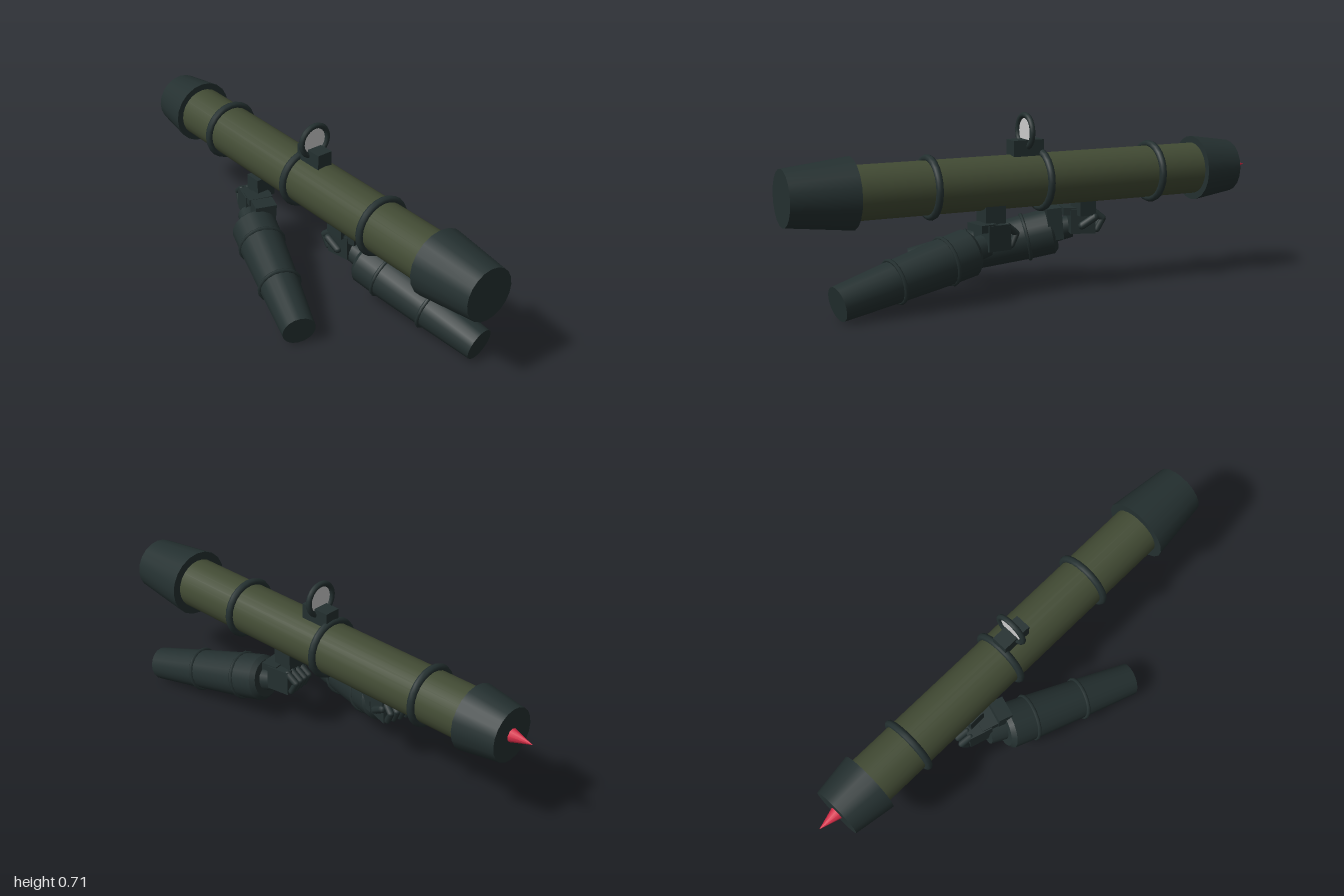
import * as THREE from 'three';

const mat = (name, color, extra = {}) => {
  const m = new THREE.MeshStandardMaterial({ color, ...extra });
  m.name = name;
  return m;
};

export function createModel() {
  const model = new THREE.Group();
  model.name = 'shoulderLauncher';
  const dark = mat('darkSlate', 0x243030);
  const olive = mat('oliveGreen', 0x424b34);
  const red = mat('warheadRed', 0xd62c47);
  const glass = mat('lensGrey', 0xcbcbcb, { side: THREE.DoubleSide });

  const add = (parent, name, geometry, material, x = 0, y = 0, z = 0) => {
    const m = new THREE.Mesh(geometry, material);
    m.name = name;
    m.position.set(x, y, z);
    parent.add(m);
    return m;
  };
  const box = (w, h, d) => new THREE.BoxGeometry(w, h, d);
  // Cylinder lying along z, given radii at its front and back ends
  const barrel = (rFront, rBack, length, sides = 20) =>
    new THREE.CylinderGeometry(rFront, rBack, length, sides).rotateX(Math.PI / 2);

  // Launch tube with flared ends, bands and red tip
  const X = 0.1, Y = 0.455;
  add(model, 'launchTube', barrel(0.104, 0.104, 1.6, 24), olive, X, Y, 0);
  add(model, 'frontMuzzle', barrel(0.108, 0.138, 0.26), dark, X, Y, 0.87);
  add(model, 'rearMuzzle', barrel(0.131, 0.106, 0.17), dark, X, Y, -0.825);
  for (const z of [0.43, -0.035, -0.535])
    add(model, 'tubeBand', new THREE.TorusGeometry(0.111, 0.015, 8, 24), dark, X, Y, z);
  add(model, 'redTip', new THREE.ConeGeometry(0.03, 0.1, 10).rotateX(-Math.PI / 2), red, X, Y, -0.95);

  // Ring sight
  add(model, 'sightBase', box(0.066, 0.065, 0.13), dark, X, 0.583, 0.025);
  add(model, 'sightRing', new THREE.TorusGeometry(0.0635, 0.0115, 8, 24), dark, X, 0.646, 0.025);
  add(model, 'sightLens', new THREE.CircleGeometry(0.058, 24), glass, X, 0.646, 0.025);

  // Forearm sleeve running from its open front end to the wrist
  const forearm = (name, start, end) => {
    const arm = new THREE.Group();
    arm.name = name;
    const a = new THREE.Vector3(...start), b = new THREE.Vector3(...end);
    const dir = b.clone().sub(a), L = dir.length();
    arm.position.copy(a);
    arm.quaternion.setFromUnitVectors(new THREE.Vector3(0, 1, 0), dir.normalize());
    const sections = [[0.067, 0.081, 0, 0.41], [0.081, 0.092, 0.41, 0.8], [0.092, 0.094, 0.8, 0.97], [0.094, 0.078, 0.97, 1]];
    for (const [r0, r1, t0, t1] of sections)
      add(arm, 'sleeve', new THREE.CylinderGeometry(r1, r0, (t1 - t0) * L, 18), dark, 0, (t0 + t1) / 2 * L, 0);
    for (const [t, r] of [[0.41, 0.083], [0.8, 0.092]])
      add(arm, 'sleeveRing', new THREE.TorusGeometry(r, 0.008, 6, 18).rotateX(Math.PI / 2), dark, 0, t * L, 0);
    add(arm, 'wrist', new THREE.CylinderGeometry(0.045, 0.05, 0.08, 12), dark, 0, L + 0.03, 0);
    model.add(arm);
  };
  forearm('leftForearm', [0.24, 0.08, 0.845], [0.155, 0.207, 0.28]);
  forearm('rightForearm', [-0.245, 0.087, 0.368], [-0.05, 0.215, -0.18]);

  // Fist with four curled fingers facing the rear, and a thumb on the inner side
  const fist = (name, x, y, z, side, turn) => {
    const hand = new THREE.Group();
    hand.name = name;
    hand.position.set(x, y, z);
    hand.rotation.y = turn;
    add(hand, 'palm', box(0.11, 0.1, 0.1), dark);
    add(hand, 'cuffPlate', box(0.1, 0.03, 0.07), dark, 0, 0.04, 0.045);
    for (let i = 0; i < 4; i++) {
      const fx = (i - 1.5) * 0.028;
      const upper = add(hand, 'fingerUpper', new THREE.CapsuleGeometry(0.014, 0.05, 3, 8), dark, fx, 0.025, -0.062);
      upper.rotation.x = 0.9;
      const lower = add(hand, 'fingerLower', new THREE.CapsuleGeometry(0.013, 0.045, 3, 8), dark, fx, -0.015, -0.07);
      lower.rotation.x = -0.5;
    }
    const thumb = add(hand, 'thumb', new THREE.CapsuleGeometry(0.016, 0.06, 3, 8), dark, side * 0.06, 0.0, -0.02);
    thumb.rotation.x = -1.0;
    model.add(hand);
  };
  fist('leftFist', 0.14, 0.255, 0.185, -1, 0.15);
  fist('rightFist', 0.02, 0.265, -0.265, 1, -0.3);

  // Collar above the right wrist
  const collar = add(model, 'rightWristCollar', box(0.09, 0.13, 0.06), dark, -0.015, 0.255, -0.16);
  collar.rotation.set(0.1, -0.3, 0);

  // Grips joining the fists to the tube
  add(model, 'frontGrip', box(0.085, 0.08, 0.085), dark, 0.12, 0.335, 0.18);
  add(model, 'rearGrip', box(0.085, 0.09, 0.07), dark, 0.05, 0.335, -0.26);

  return model;
}
